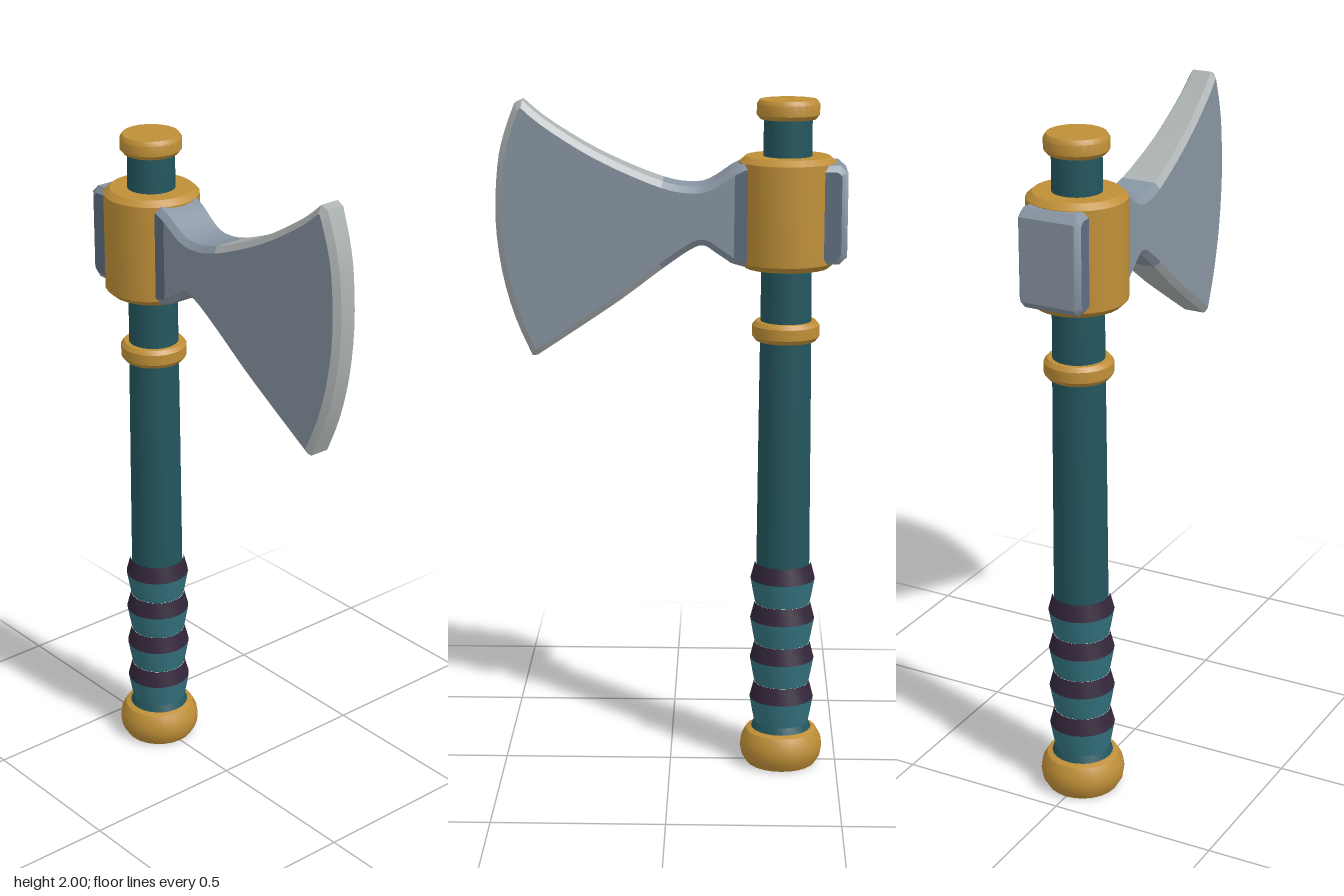
import * as THREE from 'three';
import { toCreasedNormals } from 'three/addons/utils/BufferGeometryUtils.js';

const AXIS = -0.335;
const SIDES = 24;

function material(name, color) {
  const m = new THREE.MeshStandardMaterial({ color });
  m.name = name;
  return m;
}

export function createModel() {
  const group = new THREE.Group();
  const gold = material('gold', 0xbf8f38);
  const shaftTeal = material('dark teal', 0x23565e);
  const gripTeal = material('grip teal', 0x347480);
  const wrap = material('dark wrap', 0x33263a);
  const steel = material('steel', 0x8895a3);
  const neckSteel = material('dark steel', 0x606e82);
  const edgeSteel = material('bright edge', 0xacb1b2);

  function add(name, geometry, mat) {
    const mesh = new THREE.Mesh(geometry, mat);
    mesh.name = name;
    group.add(mesh);
  }

  // Turned part around the handle axis, profile as [radius, y] from the bottom up
  function turned(name, profile, mat, crease = 0.6) {
    const points = profile.map(([r, y]) => new THREE.Vector2(r, y));
    const geo = toCreasedNormals(new THREE.LatheGeometry(points, SIDES), crease);
    geo.translate(AXIS, 0, 0);
    add(name, geo, mat);
  }

  // Handle and gold fittings
  turned('shaft', [[0.079, 0.6], [0.076, 1.1], [0.073, 1.5], [0.069, 1.97]], shaftTeal);
  turned('pommel', [[0, 0], [0.105, 0], [0.12, 0.025], [0.124, 0.05], [0.12, 0.078],
    [0.106, 0.103], [0.085, 0.112], [0, 0.112]], gold);
  turned('lowerRing', [[0.07, 1.305], [0.088, 1.305], [0.098, 1.318], [0.098, 1.35],
    [0.088, 1.362], [0.07, 1.362]], gold);
  turned('collar', [[0.06, 1.52], [0.122, 1.52], [0.14, 1.537], [0.14, 1.824],
    [0.122, 1.84], [0.06, 1.84]], gold);
  turned('topCap', [[0, 1.945], [0.08, 1.945], [0.09, 1.957], [0.09, 1.988],
    [0.082, 2], [0, 2]], gold);

  // Grip: dark wraps flare downwards, teal pads taper back in
  turned('gripBase', [[0.092, 0.105], [0.08, 0.135]], shaftTeal);
  for (let i = 0; i < 4; i++) {
    const y = 0.205 + i * 0.125;
    turned('gripPad', [[0.082, y - 0.075], [0.087, y - 0.05], [0.096, y]], gripTeal);
    turned('gripWrap', [[0.096, y], [0.083, y + 0.05]], wrap);
  }

  // Axe head outline, counter-clockwise from the lower neck
  const curve = (pts, n) => new THREE.SplineCurve(pts.map(([x, y]) => new THREE.Vector2(x, y))).getPoints(n);
  const lower = curve([[-0.175, 1.54], [-0.13, 1.57], [-0.095, 1.59], [-0.055, 1.575],
    [0.02, 1.522], [0.14, 1.43], [0.27, 1.34], [0.385, 1.262]], 21);
  const cutting = curve([[0.4, 1.26], [0.45, 1.375], [0.486, 1.51], [0.502, 1.66],
    [0.494, 1.81], [0.475, 1.9], [0.443, 1.988]], 18);
  const upper = curve([[0.42, 1.998], [0.36, 1.947], [0.25, 1.876], [0.14, 1.82],
    [0.02, 1.772], [-0.055, 1.758], [-0.11, 1.766], [-0.175, 1.808]], 21);
  const bladeLine = [...lower, ...cutting, ...upper];
  const neckLine = [[-0.21, 1.825], [-0.482, 1.822], [-0.505, 1.8], [-0.505, 1.562],
    [-0.482, 1.54], [-0.21, 1.53]].map(([x, y]) => new THREE.Vector2(x, y));
  const outline = [...bladeLine, ...neckLine];
  const count = outline.length;

  // Mitred inset of the outline for the bevel
  const inset = outline.map((p, i) => {
    const a = p.clone().sub(outline[(i + count - 1) % count]).normalize();
    const b = outline[(i + 1) % count].clone().sub(p).normalize();
    const na = new THREE.Vector2(-a.y, a.x), nb = new THREE.Vector2(-b.y, b.x);
    const n = na.clone().add(nb).normalize();
    return p.clone().addScaledVector(n, 0.018 / Math.max(0.6, n.dot(na)));
  });

  // The head thins steadily from the poll to the cutting edge
  const half = (x) => 0.095 - 0.058 * (x + 0.48);
  const at = (p, side, drop) => [p.x, p.y, side * (half(p.x) - drop)];
  const parts = { steel: [], edge: [], blade: [], neck: [] };
  const quad = (list, a, b, c, d) => list.push(...a, ...b, ...c, ...a, ...c, ...d);

  // Rim and bevels
  const DROP = 0.014;
  for (let i = 0; i < count; i++) {
    const j = (i + 1) % count;
    const p = outline[i], q = outline[j], pi = inset[i], qi = inset[j];
    const list = (p.x + q.x) / 2 > 0.02 ? parts.edge : parts.steel;
    quad(list, at(p, -1, DROP), at(q, -1, DROP), at(q, 1, DROP), at(p, 1, DROP));
    quad(list, at(p, 1, DROP), at(q, 1, DROP), at(qi, 1, 0), at(pi, 1, 0));
    quad(list, at(q, -1, DROP), at(p, -1, DROP), at(pi, -1, 0), at(qi, -1, 0));
  }

  // Flat cheeks, front and back
  function cheeks(list, poly) {
    for (const [a, b, c] of THREE.ShapeUtils.triangulateShape(poly, [])) {
      const ccw = poly[b].clone().sub(poly[a]).cross(poly[c].clone().sub(poly[a])) > 0;
      const tri = ccw ? [a, b, c] : [a, c, b];
      for (const k of tri) list.push(...at(poly[k], 1, 0));
      for (const k of [...tri].reverse()) list.push(...at(poly[k], -1, 0));
    }
  }
  const last = bladeLine.length - 1;
  cheeks(parts.blade, inset.slice(0, last + 1));
  cheeks(parts.neck, [...inset.slice(last), inset[0]]);

  function addHead(name, positions, mat) {
    const geo = new THREE.BufferGeometry();
    geo.setAttribute('position', new THREE.Float32BufferAttribute(positions, 3));
    add(name, toCreasedNormals(geo, 0.5), mat);
  }
  addHead('neckRim', parts.steel, steel);
  addHead('bladeEdge', parts.edge, edgeSteel);
  addHead('bladeCheeks', parts.blade, steel);
  addHead('neckCheeks', parts.neck, neckSteel);

  return group;
}
